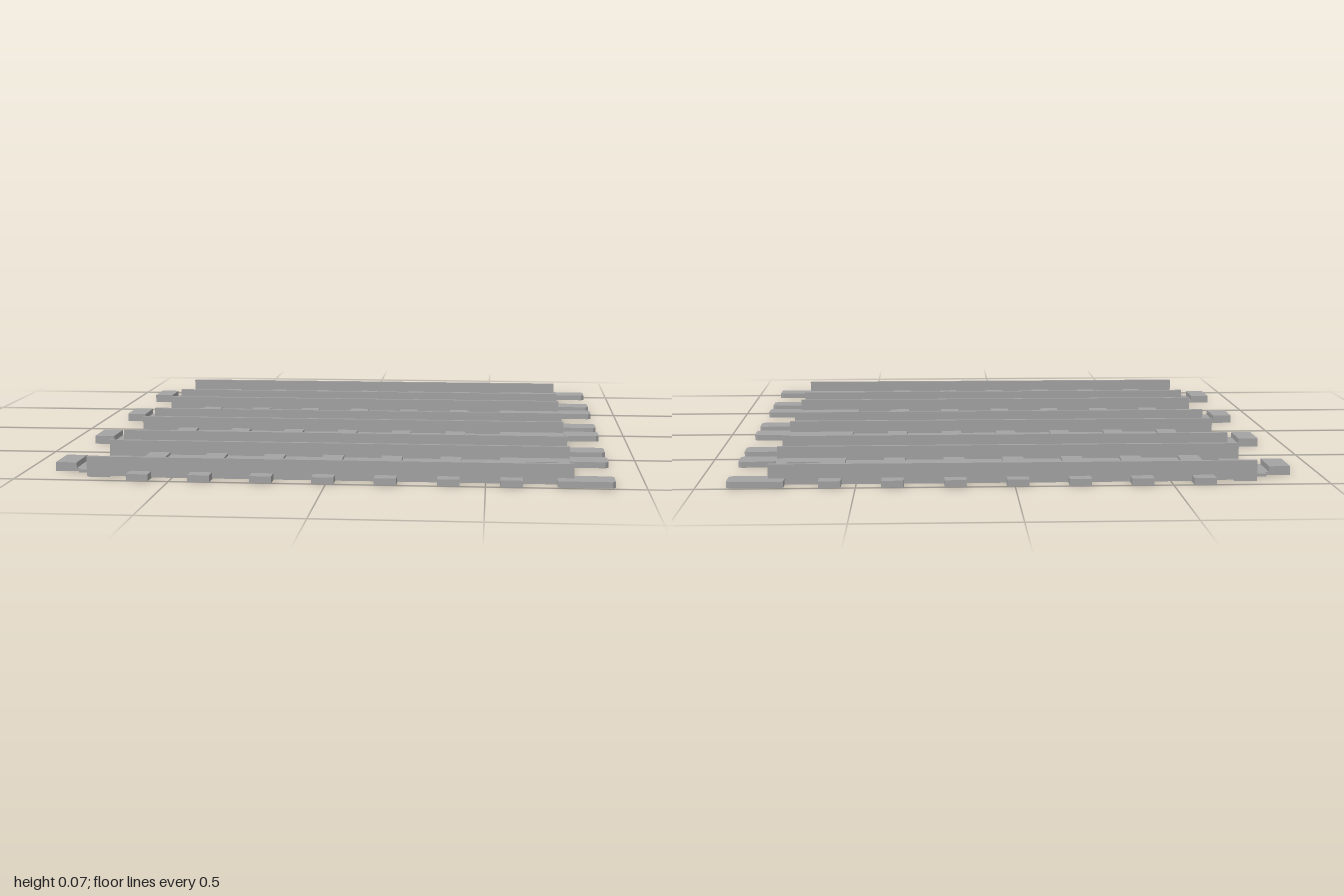
import * as THREE from 'three';

const grey = new THREE.MeshStandardMaterial({ color: 0xa3a3a3 });
grey.name = 'railGrey';

// box given by its min and max on each axis
function box(parent, name, x0, x1, y0, y1, z0, z1) {
  const mesh = new THREE.Mesh(new THREE.BoxGeometry(x1 - x0, y1 - y0, z1 - z0), grey);
  mesh.position.set((x0 + x1) / 2, (y0 + y1) / 2, (z0 + z1) / 2);
  mesh.name = name;
  parent.add(mesh);
}

// flat plate from an outline in x and z, with optional rectangular hole
function plate(parent, name, points, y0, y1, hole) {
  const toVec = ([x, z]) => new THREE.Vector2(x, -z);
  const shape = new THREE.Shape(points.map(toVec));
  if (hole) shape.holes.push(new THREE.Path(hole.map(toVec)));
  const geo = new THREE.ExtrudeGeometry(shape, { depth: y1 - y0, bevelEnabled: false });
  geo.rotateX(-Math.PI / 2);
  const mesh = new THREE.Mesh(geo, grey);
  mesh.position.y = y0;
  mesh.name = name;
  parent.add(mesh);
}

const rect = (x0, x1, h) => [[x0, -h], [x1, -h], [x1, h], [x0, h]];

function createTrack() {
  const track = new THREE.Group();
  track.name = 'trackSection';

  // cross ties: raised between the rails, lower outside them
  for (let i = 0; i < 7; i++) {
    const x = -0.601 + i * 0.197;
    box(track, 'sleeper', x - 0.035, x + 0.035, 0, 0.022, -0.217, 0.217);
    box(track, 'sleeperTop', x - 0.035, x + 0.035, 0.022, 0.028, -0.149, 0.149);
  }

  for (const s of [-1, 1]) {
    const side = (name, x0, x1, y0, y1, a, b) =>
      box(track, name, x0, x1, y0, y1, Math.min(s * a, s * b), Math.max(s * a, s * b));
    // upright rail and its floor strip
    side('rail', -0.775, 0.776, 0.005, 0.067, 0.149, 0.164);
    side('floorStrip', -0.636, 0.62, 0, 0.02, 0.098, 0.155);
    side('narrowStrip', -0.71, -0.636, 0, 0.014, 0.098, 0.118);
    // joining pad with clipped corners, wrapped around the rail end
    plate(track, 'joiningPad', [
      [0.724, s * 0.164], [0.776, s * 0.164], [0.776, s * 0.128], [0.782, s * 0.122],
      [0.892, s * 0.122], [0.902, s * 0.132], [0.902, s * 0.207], [0.892, s * 0.217],
      [0.724, s * 0.217],
    ], 0.002, 0.022);
  }

  // end plate with square opening
  plate(track, 'endPlate', rect(0.61, 0.774, 0.155), 0, 0.028, rect(0.63, 0.736, 0.078));

  // opposite end: cross plate, stepped tongue and raised catch
  box(track, 'crossPlate', -0.775, -0.704, 0, 0.014, -0.16, 0.16);
  box(track, 'tongue', -0.82, -0.77, 0, 0.01, -0.092, 0.092);
  box(track, 'tongueNeck', -0.902, -0.815, 0, 0.01, -0.069, 0.069);
  box(track, 'catch', -0.902, -0.833, 0.004, 0.029, -0.069, 0.069);
  return track;
}

export function createModel() {
  const model = new THREE.Group();
  model.name = 'trackSet';
  for (let i = 0; i < 4; i++) {
    const track = createTrack();
    track.position.z = (i - 1.5) * 0.522;
    model.add(track);
  }
  return model;
}
